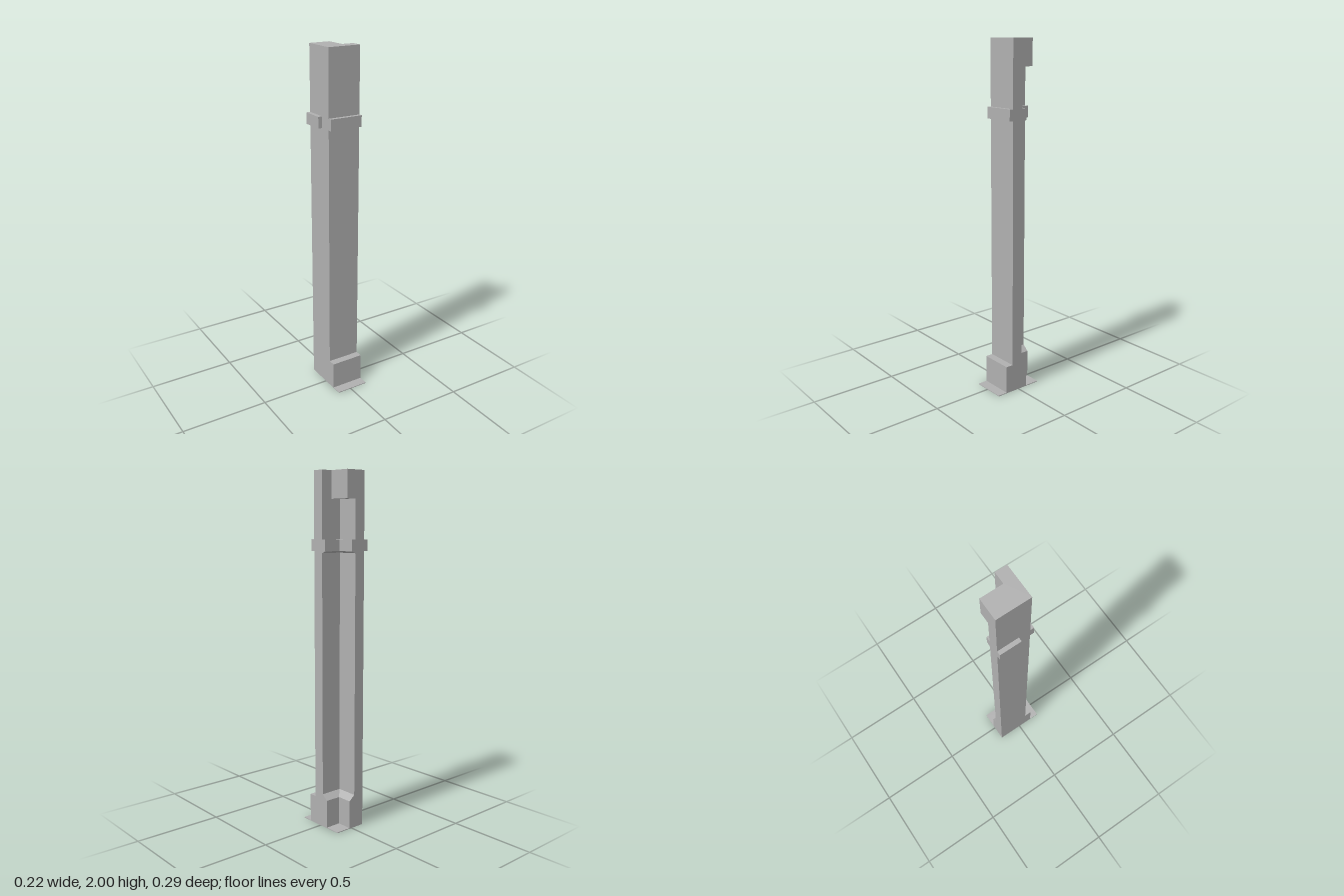
import * as THREE from 'three';

// Shared plan dimensions
const LEFT = 0.108, RIGHT = -0.084, FRONT = 0.045, BACK = -0.147;
const INNER_X = -0.02, INNER_Z = -0.021;

const grey = new THREE.MeshStandardMaterial({ color: 0xb0b0b0 });
grey.name = 'grey';

// L-shaped cross-section at height y, counter-clockwise from above
function section(y, ix, iz) {
  return [
    [RIGHT, y, FRONT], [LEFT, y, FRONT], [LEFT, y, iz],
    [ix, y, iz], [ix, y, BACK], [RIGHT, y, BACK],
  ];
}

// Joins L sections into a closed, hard-edged solid
function loft(rings) {
  const pos = [];
  const tri = (...corners) => corners.forEach((c) => pos.push(...c));
  for (let r = 0; r < rings.length - 1; r++) {
    const lo = rings[r], hi = rings[r + 1];
    for (let i = 0; i < 6; i++) {
      const j = (i + 1) % 6;
      tri(lo[i], lo[j], hi[j]);
      tri(lo[i], hi[j], hi[i]);
    }
  }
  const first = rings[0], last = rings[rings.length - 1];
  for (const [a, b, c] of [[0, 1, 2], [0, 2, 3], [0, 3, 5], [3, 4, 5]]) {
    tri(last[a], last[b], last[c]);
    tri(first[a], first[c], first[b]);
  }
  const geo = new THREE.BufferGeometry();
  geo.setAttribute('position', new THREE.Float32BufferAttribute(pos, 3));
  geo.computeVertexNormals();
  return geo;
}

export function createModel() {
  const model = new THREE.Group();
  model.name = 'cornerPost';

  const add = (name, geo) => {
    const mesh = new THREE.Mesh(geo, grey);
    mesh.name = name;
    model.add(mesh);
  };
  // Box given by its lower and upper limits
  const block = (name, x0, x1, y0, y1, z0, z1) => {
    const geo = new THREE.BoxGeometry(x1 - x0, y1 - y0, z1 - z0);
    geo.translate((x0 + x1) / 2, (y0 + y1) / 2, (z0 + z1) / 2);
    add(name, geo);
  };

  // Post: [height, thickening of both inner walls]
  const rings = [
    [0.002, 0.036], [0.165, 0.036], [0.195, 0],       // skirting with sloped top
    [1.562, 0], [1.572, 0.026], [1.635, 0.026], [1.635, 0], // inner rail
    [1.85, 0],
  ].map(([y, d]) => section(y, INNER_X + d, INNER_Z - d));
  // Thicker head on the back arm only
  rings.push(section(1.85, 0.04, INNER_Z), section(2, 0.04, INNER_Z));
  add('post', loft(rings));

  // Outer trim
  block('frontRail', RIGHT, LEFT, 1.572, 1.635, FRONT - 0.01, 0.068);
  block('sideRail', -0.108, RIGHT + 0.01, 1.572, 1.635, BACK, INNER_Z);
  block('frontSkirting', RIGHT, LEFT, 0.002, 0.165, FRONT - 0.01, 0.089);

  // Floor plate
  block('floorPlate', RIGHT, LEFT, 0, 0.004, BACK, 0.147);

  return model;
}
